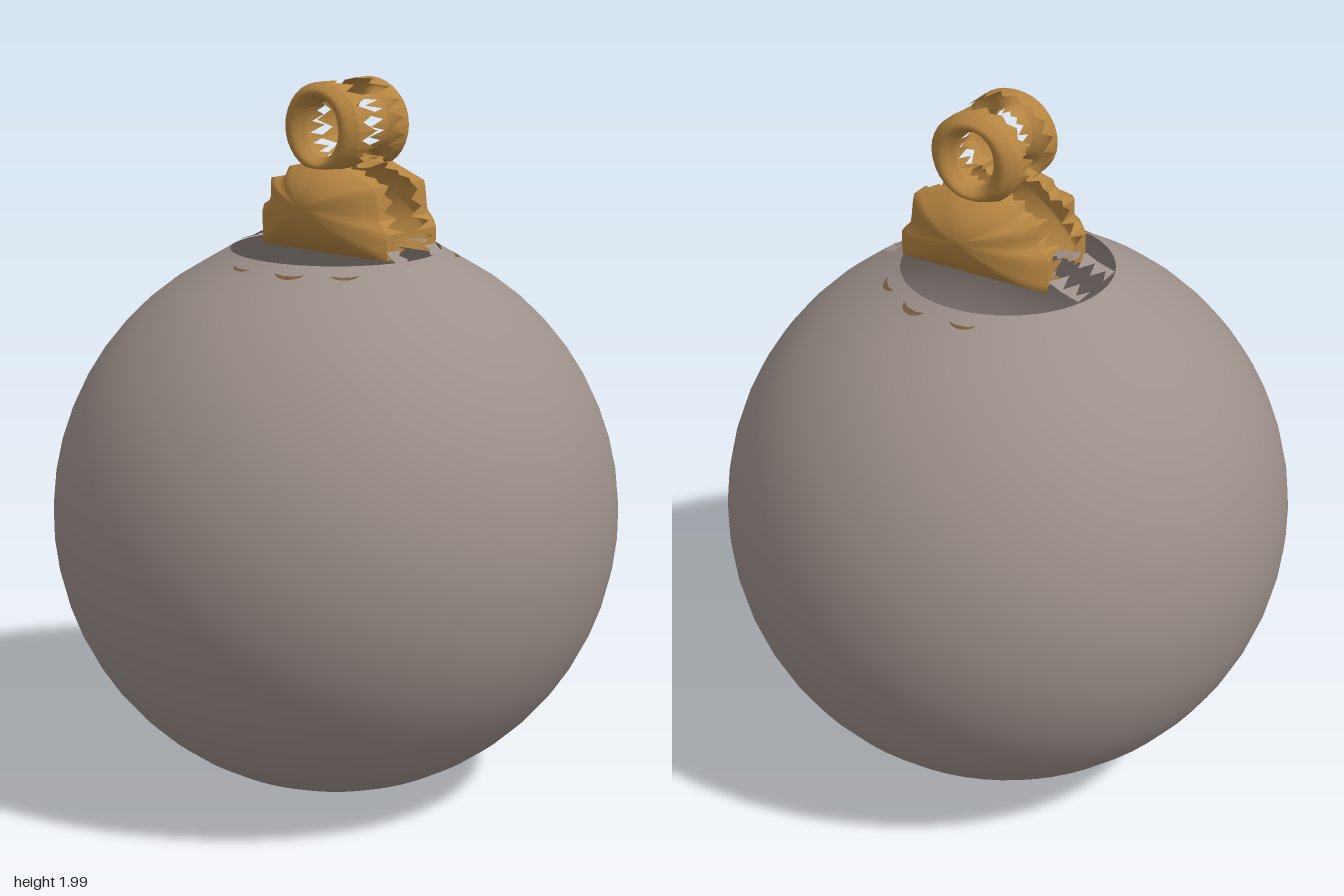
import * as THREE from 'three';

const mat = (name, color) => {
  const m = new THREE.MeshStandardMaterial({ color, side: THREE.DoubleSide });
  m.name = name;
  return m;
};
const R = 0.787, CY = 0.797; // ball radius and centre height
const EDGE = 0.1; // depth of each half's outline

function build(verts, index, flat) {
  let g = new THREE.BufferGeometry();
  g.setAttribute('position', new THREE.Float32BufferAttribute(verts, 3));
  g.setIndex(index);
  if (flat) g = g.toNonIndexed();
  g.computeVertexNormals();
  return g;
}

// Surface lofted through rows of equal length
function loft(rows, closed) {
  const n = rows[0].length, idx = [];
  for (let r = 0; r < rows.length - 1; r++) {
    for (let i = 0; i < (closed ? n : n - 1); i++) {
      const j = (i + 1) % n, a = r * n + i, b = r * n + j;
      idx.push(a, a + n, b, b, a + n, b + n);
    }
  }
  return build(rows.flat(2), idx);
}

// Torn wall running back from an outline, with alternating long and short teeth
function tornWall(points) {
  const v = [], idx = [];
  points.forEach((p, i) => {
    const wobble = 0.012 * Math.sin(i * 2.7);
    v.push(p.x, p.y, EDGE, p.x, p.y, (i % 2 ? 0.075 : 0.035) + wobble);
    if (i) idx.push(2 * i - 2, 2 * i - 1, 2 * i, 2 * i, 2 * i - 1, 2 * i + 1);
  });
  return build(v, idx, true);
}

const polyline = (pts, n) =>
  new THREE.Shape(pts.map(([x, y]) => new THREE.Vector2(x, y))).getSpacedPoints(n);

function ellipse(cx, cy, rx, ry, n) {
  return Array.from({ length: n + 1 }, (_, i) => {
    const a = (i / n) * Math.PI * 2;
    return new THREE.Vector2(cx + rx * Math.cos(a), cy + ry * Math.sin(a));
  });
}

export function createModel() {
  const model = new THREE.Group();
  const grey = mat('warmGrey', 0x9c908a);
  const gold = mat('gold', 0xb48441);
  const bronze = mat('darkBronze', 0x765b3c);
  const add = (parent, name, geo, m) => {
    const mesh = new THREE.Mesh(geo, m);
    mesh.name = name;
    parent.add(mesh);
    return mesh;
  };

  // Hollow ball, open at the top
  const profile = [new THREE.Vector2(0, 0.008)];
  const start = -Math.PI / 2 + 0.24, end = Math.acos(0.288 / R);
  for (let i = 0; i <= 22; i++) {
    const a = start + ((end - start) * i) / 22;
    profile.push(new THREE.Vector2(R * Math.cos(a), CY + R * Math.sin(a)));
  }
  profile[profile.length - 1].y = 1.54;
  add(model, 'ball', new THREE.LatheGeometry(profile, 64), grey);

  // One bulging half of the cap, ring and flange, repeated on the back
  function capHalf(name) {
    const half = new THREE.Group();
    half.name = name;
    const outline = polyline([
      [-0.18, 1.545], [-0.18, 1.65], [-0.145, 1.67], [-0.145, 1.73], [-0.09, 1.735],
      [-0.08, 1.765], [0.0, 1.785], [0.09, 1.785], [0.16, 1.76], [0.23, 1.735],
      [0.24, 1.65], [0.27, 1.62], [0.27, 1.545], [-0.18, 1.545],
    ], 56);
    const rows = [];
    for (let k = 0; k <= 8; k++) {
      const t = Math.max(1 - k / 8, 0.001);
      rows.push(outline.slice(0, -1).map((p) => [
        0.045 + (p.x - 0.045) * t,
        1.675 + (p.y - 1.675) * t,
        EDGE + 0.09 * Math.pow(1 - t * t, 0.8),
      ]));
    }
    add(half, 'capShell', loft(rows, true), gold);
    // The wall skips the open bottom edge
    add(half, 'capWall', tornWall(outline.filter((p) => p.y > 1.546)), gold);

    // Hanging ring
    const inner = ellipse(0.042, 1.875, 0.058, 0.077, 32);
    const outer = ellipse(0.04, 1.877, 0.132, 0.122, 32);
    const ring = [];
    for (let k = 0; k <= 6; k++) {
      const t = k / 6;
      ring.push(outer.slice(0, -1).map((p, i) => [
        p.x + (inner[i].x - p.x) * t,
        p.y + (inner[i].y - p.y) * t,
        EDGE + 0.03 * Math.sin(t * Math.PI),
      ]));
    }
    add(half, 'ringShell', loft(ring, true), gold);
    add(half, 'ringOuterWall', tornWall(outer), gold);
    add(half, 'ringInnerWall', tornWall(inner), gold);

    // Torn grey flange under the cap
    add(half, 'leftFlange', tornWall(polyline(
      [[0.1, 1.545], [0.2, 1.575], [0.26, 1.58], [0.29, 1.55], [0.33, 1.54]], 14)), grey);
    add(half, 'rightFlange', tornWall(polyline(
      [[-0.27, 1.545], [-0.22, 1.56], [-0.18, 1.58], [-0.02, 1.55]], 14)), grey);
    model.add(half);
    return half;
  }
  capHalf('frontCapHalf');
  capHalf('backCapHalf').scale.z = -1;

  // Scallops lying on the ball just outside its opening
  const tab = new THREE.CircleGeometry(0.047, 16, Math.PI - 0.2, Math.PI + 0.4);
  const centre = new THREE.Vector3(0, CY, 0);
  for (const side of [1, -1]) {
    for (const [x, z] of [[-0.045, 0.288], [0.1, 0.282], [0.212, 0.205]]) {
      const n = new THREE.Vector3(x, Math.sqrt(R * R - x * x - z * z), z * side).normalize();
      const mesh = add(model, 'scallop', tab, bronze);
      mesh.position.copy(centre).addScaledVector(n, R + 0.003);
      mesh.lookAt(centre.clone().addScaledVector(n, 2));
    }
  }
  return model;
}
